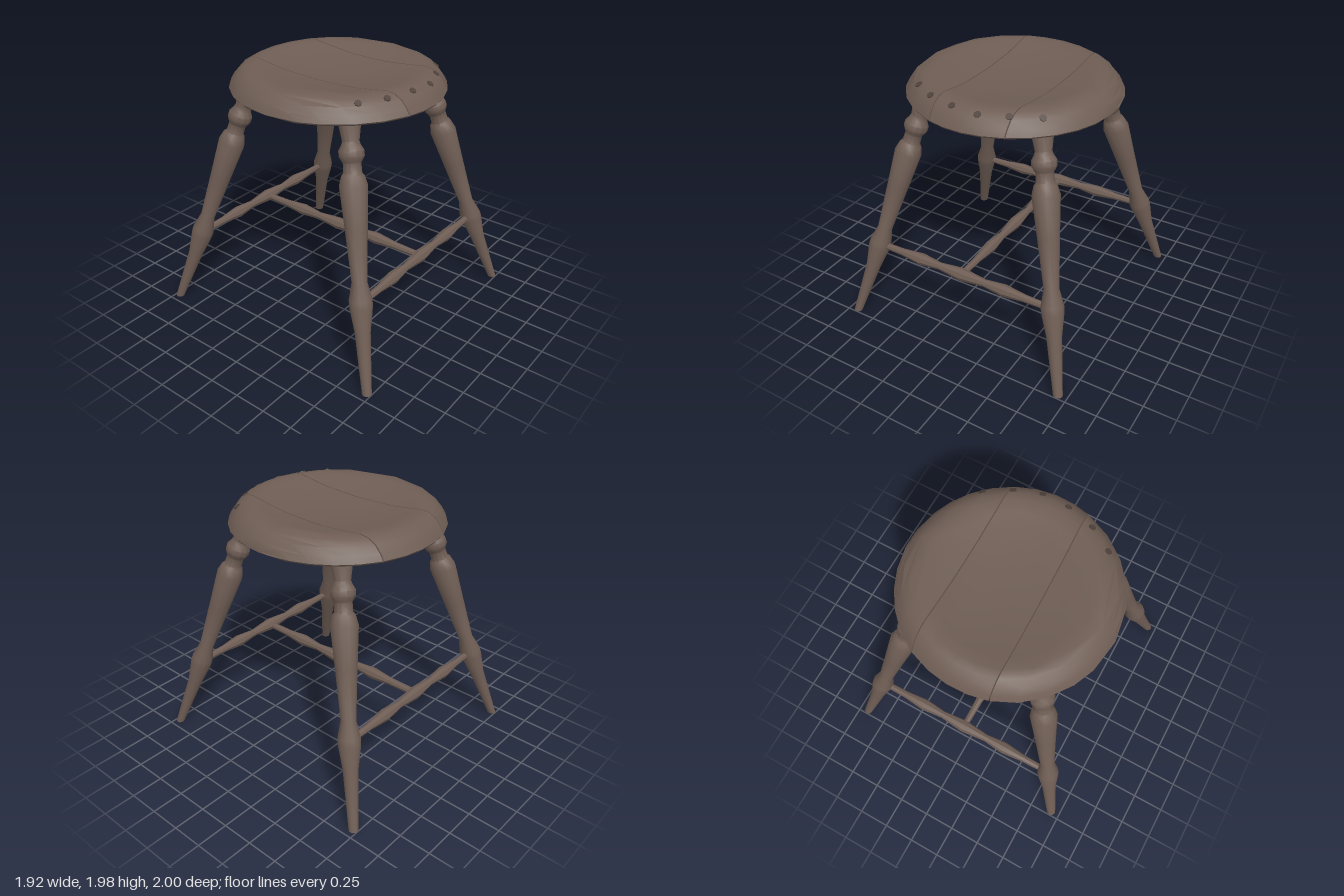
import * as THREE from 'three';
import { toCreasedNormals } from 'three/addons/utils/BufferGeometryUtils.js';

const wood = new THREE.MeshStandardMaterial({ color: 0x6e5d54 });
wood.name = 'brown wood';
const darkWood = new THREE.MeshStandardMaterial({ color: 0x50433c });
darkWood.name = 'dark wood';

// Seat profile as [radius, height], centre to rim
const TOP = [[0, 1.915], [0.2, 1.92], [0.4, 1.937], [0.54, 1.96], [0.63, 1.977], [0.69, 1.968], [0.745, 1.935], [0.785, 1.885], [0.81, 1.84]];
const BOTTOM = [[0, 1.79], [0.3, 1.79], [0.61, 1.793], [0.72, 1.805], [0.8, 1.826], [0.81, 1.84]];

function heightAt(profile, r) {
  for (let i = 1; i < profile.length; i++) {
    const [r0, y0] = profile[i - 1], [r1, y1] = profile[i];
    if (r <= r1) return y0 + (y1 - y0) * (r - r0) / (r1 - r0);
  }
  return profile[profile.length - 1][1];
}

// One seat board: slices of the round seat joined along x; seams lean by the slopes
function boardGeometry(xs, slopeStart, slopeEnd) {
  const rings = xs.map((x, i) => {
    const slope = THREE.MathUtils.lerp(slopeStart, slopeEnd, i / (xs.length - 1));
    const point = (profile, radius, side) => {
      const r = Math.max(radius, Math.abs(x));
      const z = side * Math.sqrt(r * r - x * x);
      return [x + slope * z, heightAt(profile, r), z];
    };
    const half = side => [
      ...BOTTOM.map(p => point(BOTTOM, p[0], side)),
      ...TOP.slice(0, -1).reverse().map(p => point(TOP, p[0], side)),
    ];
    return [...half(1), ...half(-1).reverse()];
  });
  const n = rings[0].length, pos = [];
  const tri = (...corners) => corners.forEach(c => pos.push(...c));
  for (let i = 0; i < rings.length - 1; i++) {
    for (let j = 0; j < n; j++) {
      const k = (j + 1) % n, a = rings[i], b = rings[i + 1];
      tri(a[j], b[j], a[k]);
      tri(b[j], b[k], a[k]);
    }
  }
  // Sawn faces at both ends
  const first = rings[0], last = rings[rings.length - 1];
  for (let j = 0; j < n; j++) {
    const k = (j + 1) % n;
    tri([xs[0], 1.845, 0], first[j], first[k]);
    tri([xs[xs.length - 1], 1.845, 0], last[k], last[j]);
  }
  const g = new THREE.BufferGeometry();
  g.setAttribute('position', new THREE.Float32BufferAttribute(pos, 3));
  return toCreasedNormals(g, 0.65);
}

// Turned part between two points; profile is [fraction along, radius]
function turnedGeometry(profile, from, to, sides) {
  const axis = to.clone().sub(from), length = axis.length();
  const pts = profile.map(([t, r]) => new THREE.Vector2(r, t * length));
  pts.unshift(new THREE.Vector2(0, pts[0].y));
  pts.push(new THREE.Vector2(0, pts[pts.length - 1].y));
  const g = new THREE.LatheGeometry(pts, sides);
  g.applyQuaternion(new THREE.Quaternion().setFromUnitVectors(new THREE.Vector3(0, 1, 0), axis.normalize()));
  g.translate(from.x, from.y, from.z);
  // Trim anything below the floor so feet stand flat
  const p = g.attributes.position;
  for (let i = 0; i < p.count; i++) p.setY(i, Math.max(0, p.getY(i)));
  return toCreasedNormals(g, 0.65);
}

export function createModel() {
  const model = new THREE.Group();
  model.name = 'stool';
  const add = (name, geometry, material = wood) => {
    const mesh = new THREE.Mesh(geometry, material);
    mesh.name = name;
    model.add(mesh);
    return mesh;
  };

  // Seat: three boards with narrow gaps
  add('seatBoardRight', boardGeometry([-0.81, -0.77, -0.7, -0.58, -0.42, -0.245], 0, 0.025));
  add('seatBoardMiddle', boardGeometry([-0.237, -0.1, 0.05, 0.2, 0.353], 0.025, -0.01));
  add('seatBoardLeft', boardGeometry([0.361, 0.5, 0.62, 0.71, 0.77, 0.806], -0.01, 0));

  // Peg holes along the front rim, above and below
  const holes = [[-0.48, 0.53], [-0.3, 0.64], [-0.08, 0.7], [0.13, 0.71], [0.33, 0.635], [0.52, 0.52]];
  for (const [x, z] of holes) {
    for (const [name, profile, sign] of [['pegHoleTop', TOP, 1], ['pegHoleBottom', BOTTOM, -1]]) {
      const r = Math.hypot(x, z);
      const slope = (heightAt(profile, r + 0.02) - heightAt(profile, r - 0.02)) / 0.04;
      const normal = new THREE.Vector3(-slope * x / r, 1, -slope * z / r).normalize().multiplyScalar(sign);
      const hole = add(name, new THREE.CylinderGeometry(0.026, 0.026, 0.008, 8), darkWood);
      hole.position.set(x, heightAt(profile, r), z);
      hole.quaternion.setFromUnitVectors(new THREE.Vector3(0, 1, 0), normal);
    }
  }

  // Four splayed turned legs
  const legProfile = [
    [-0.02, 0.036], [0.225, 0.057], [0.32, 0.084], [0.345, 0.084], [0.41, 0.056], [0.6, 0.08],
    [0.755, 0.101], [0.79, 0.082], [0.8, 0.066], [0.835, 0.064], [0.842, 0.074], [0.858, 0.09],
    [0.878, 0.09], [0.897, 0.068], [0.91, 0.06], [0.965, 0.077], [0.99, 0.077],
  ];
  for (const sx of [1, -1]) {
    for (const sz of [1, -1]) {
      const foot = new THREE.Vector3(sx * 0.918, 0, sz * 0.955);
      const head = new THREE.Vector3(sx * 0.478, 1.85, sz * 0.455);
      add((sz > 0 ? 'front' : 'back') + (sx > 0 ? 'LeftLeg' : 'RightLeg'), turnedGeometry(legProfile, foot, head, 12));
    }
  }

  // Stretchers: front and back, joined by one in the middle
  const stretcherProfile = [
    [0, 0.024], [0.15, 0.029], [0.26, 0.047], [0.37, 0.029], [0.5, 0.05],
    [0.63, 0.029], [0.74, 0.047], [0.85, 0.029], [1, 0.024],
  ];
  const bar = (name, ax, az, bx, bz) => add(name, turnedGeometry(
    stretcherProfile, new THREE.Vector3(ax, 0.61, az), new THREE.Vector3(bx, 0.61, bz), 8));
  bar('frontStretcher', -0.77, 0.785, 0.77, 0.785);
  bar('backStretcher', -0.77, -0.785, 0.77, -0.785);
  bar('middleStretcher', 0, -0.785, 0, 0.785);

  return model;
}
